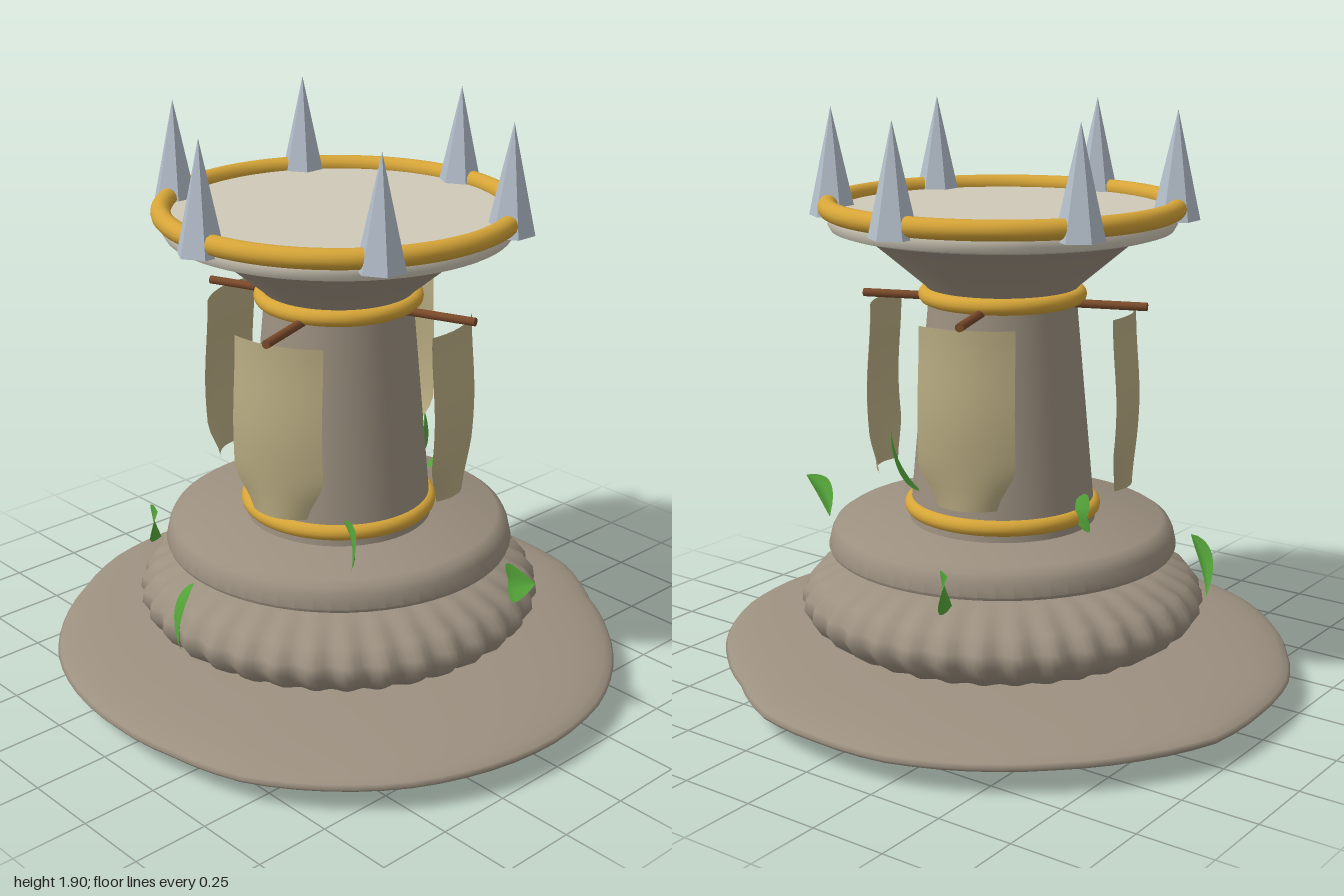
import * as THREE from 'three';
import { mergeVertices, toCreasedNormals } from 'three/addons/utils/BufferGeometryUtils.js';

const mat = (name, color, extra = {}) => {
  const m = new THREE.MeshStandardMaterial({ color, ...extra });
  m.name = name;
  return m;
};

export function createModel() {
  const model = new THREE.Group();
  model.name = 'stonePedestal';
  const stone = mat('stone', 0x9c9080);
  const paleStone = mat('paleStone', 0xd0c9b8);
  const gold = mat('gold', 0xd6a538);
  const steel = mat('steel', 0xb4bfca, { flatShading: true });
  const cloth = mat('cloth', 0xb9ac82, { side: THREE.DoubleSide });
  const wood = mat('wood', 0x7a4a2a);
  const green = mat('leafGreen', 0x55a53a, { side: THREE.DoubleSide });

  const add = (name, geo, material, parent = model) => {
    const mesh = new THREE.Mesh(geo, material);
    mesh.name = name;
    parent.add(mesh);
    return mesh;
  };
  const lathe = (pts, seg = 64) =>
    new THREE.LatheGeometry(pts.map(([r, y]) => new THREE.Vector2(r, y)), seg);
  // Moves every vertex by a rule, then welds the seam for smooth normals
  const reshape = (geo, rule) => {
    geo.deleteAttribute('uv');
    geo.deleteAttribute('normal');
    const p = geo.attributes.position, v = new THREE.Vector3();
    for (let i = 0; i < p.count; i++) {
      rule(v.fromBufferAttribute(p, i));
      p.setXYZ(i, v.x, v.y, v.z);
    }
    const welded = mergeVertices(geo, 1e-5);
    welded.computeVertexNormals();
    return welded;
  };

  // Uneven lens-shaped ground stone: outline radius every 15 degrees from +x toward +z
  const outline = [0.995, 0.998, 1.0, 0.993, 0.988, 0.957, 0.952, 0.96, 0.966, 0.962, 0.964, 0.988,
    0.995, 1.017, 0.995, 0.98, 0.98, 0.982, 0.963, 0.96, 0.922, 0.932, 0.957, 0.983];
  add('groundStone', reshape(new THREE.SphereGeometry(1, 72, 24), (v) => {
    const t = ((Math.atan2(v.z, v.x) / (2 * Math.PI) + 1) % 1) * 24;
    const i = Math.floor(t) % 24;
    const r = THREE.MathUtils.lerp(outline[i], outline[(i + 1) % 24], t - Math.floor(t));
    v.set(v.x * r, 0.09 + v.y * 0.09, v.z * r);
  }), stone);

  // Fluted cushion
  const cushion = [[0, 0.12], [0.3, 0.125], [0.5, 0.15], [0.58, 0.18], [0.635, 0.22], [0.665, 0.265],
    [0.66, 0.305], [0.62, 0.355], [0.53, 0.398], [0.42, 0.421], [0.25, 0.432], [0, 0.434]];
  add('flutedCushion', reshape(lathe(cushion, 216), (v) => {
    const r = Math.hypot(v.x, v.z);
    const k = 1 + 0.017 * THREE.MathUtils.smoothstep(r, 0.35, 0.62) * Math.cos(36 * Math.atan2(v.z, v.x));
    v.x *= k;
    v.z *= k;
  }), stone);

  // Turned stone parts
  add('slab', toCreasedNormals(lathe([[0, 0.455], [0.578, 0.455], [0.582, 0.465], [0.572, 0.51],
    [0.56, 0.533], [0.535, 0.55], [0, 0.552]]), 0.6), stone);
  add('column', toCreasedNormals(lathe([[0.31, 0.545], [0.24, 1.31]]), 0.6), stone);
  add('capital', toCreasedNormals(lathe([[0.235, 1.3], [0.25, 1.335], [0.475, 1.525]]), 0.6), stone);
  add('dish', toCreasedNormals(lathe([[0, 1.515], [0.53, 1.515], [0.553, 1.522], [0.563, 1.54],
    [0.563, 1.565], [0.55, 1.585], [0, 1.585]]), 0.6), paleStone);

  // Gold rings
  for (const [name, R, r, y] of [['lowerRing', 0.3, 0.027, 0.597], ['upperRing', 0.248, 0.027, 1.305],
    ['rimRing', 0.562, 0.032, 1.592]]) {
    const ring = add(name, new THREE.TorusGeometry(R, r, 14, 72), gold);
    ring.rotation.x = Math.PI / 2;
    ring.position.y = y;
  }

  // Six spikes on the rim
  for (let i = 0; i < 6; i++) {
    const a = (i * Math.PI) / 3;
    const spike = add('spike', new THREE.ConeGeometry(0.078, 0.35, 6), steel);
    spike.position.set(Math.sin(a) * 0.556, 1.727, Math.cos(a) * 0.556);
  }

  // Four hanging cloths on wooden rods
  const clothGeo = reshape(new THREE.PlaneGeometry(2, 1, 10, 16), (v) => {
    const d = 0.5 - v.y;
    const half = 0.16 - 0.065 * THREE.MathUtils.smoothstep(d, 0.74, 1.02) - 0.006 * (1 - d);
    v.set(v.x * half, 1.265 - d * 0.575, 0.445 - 0.035 * v.x * v.x - 0.008 * Math.cos(d * 6));
  });
  for (let i = 0; i < 4; i++) {
    const banner = new THREE.Group();
    banner.name = 'banner';
    banner.rotation.y = 0.35 + (i * Math.PI) / 2;
    const rod = add('rod', new THREE.CylinderGeometry(0.014, 0.014, 0.26, 10), wood, banner);
    rod.rotation.x = Math.PI / 2;
    rod.position.set(0, 1.283, 0.35);
    add('cloth', clothGeo, cloth, banner);
    model.add(banner);
  }

  // Pointed leaf, folded along its midrib and bowed along its length
  const leafGeo = reshape(new THREE.PlaneGeometry(2, 1, 6, 12), (v) => {
    const t = v.y + 0.5;
    const w = 0.062 * Math.pow(Math.max(0, Math.sin(Math.PI * Math.pow(t, 0.85))), 0.85);
    v.set(v.x * w, v.y * 0.23, 0.2 * Math.abs(v.x) * w + 0.02 * (0.5 - 4 * v.y * v.y));
  });
  // Each leaf: centre, direction to the tip, facing
  const leaves = [
    [[-0.36, 0.635, -0.07], [-0.15, 0.04, -0.13], [-0.7, 0, 0.7]],
    [[-0.575, 0.39, 0.34], [-0.12, -0.17, -0.1], [-0.64, 0, 0.77]],
    [[0, 0.375, 0.668], [0, -0.21, 0.06], [-0.5, 0.2, 0.85]],
    [[0.32, 0.585, 0.25], [0.15, -0.1, 0.12], [0.7, 0, -0.7]],
    [[0.735, 0.51, -0.09], [0.19, 0.09, 0.09], [-0.43, 0, 0.9]],
    [[0.19, 0.765, -0.29], [0.06, 0.2, -0.07], [0.7, 0.45, -0.7]],
    [[-0.29, 0.54, -0.685], [-0.1, 0.16, -0.15], [0.83, 0, -0.55]],
  ];
  for (const [centre, tip, facing] of leaves) {
    const y = new THREE.Vector3(...tip).normalize();
    const x = new THREE.Vector3().crossVectors(y, new THREE.Vector3(...facing)).normalize();
    const z = new THREE.Vector3().crossVectors(x, y);
    const leaf = add('leaf', leafGeo, green);
    leaf.quaternion.setFromRotationMatrix(new THREE.Matrix4().makeBasis(x, y, z));
    leaf.position.set(...centre);
  }
  return model;
}
